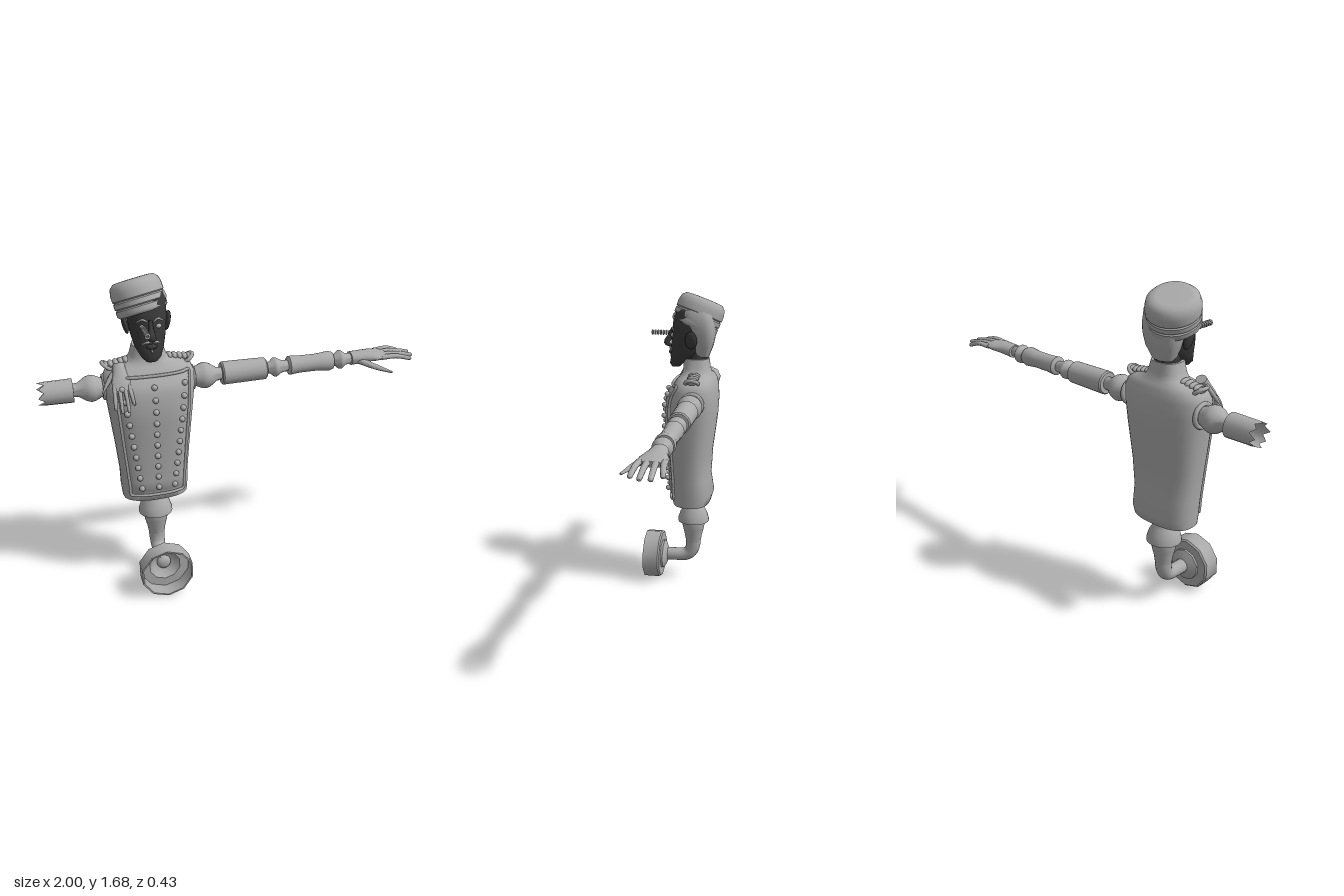
import * as THREE from 'three';
import { toCreasedNormals } from 'three/addons/utils/BufferGeometryUtils.js';

const V = (x, y, z) => new THREE.Vector3(x, y, z);
const CX = -0.452; // the figure's own centre line

export function createModel() {
  const grey = new THREE.MeshStandardMaterial({ color: 0xaaaaaa, side: THREE.DoubleSide });
  grey.name = 'light grey';
  const dark = new THREE.MeshStandardMaterial({ color: 0x3a3a3a });
  dark.name = 'dark grey';
  const model = new THREE.Group();
  model.name = 'jointedFigure';

  const add = (parent, name, geo, mat = grey, x = 0, y = 0, z = 0) => {
    const m = new THREE.Mesh(geo, mat);
    m.name = name;
    m.position.set(x, y, z);
    parent.add(m);
    return m;
  };
  const group = (parent, name, x = 0, y = 0, z = 0) => {
    const g = new THREE.Group();
    g.name = name;
    g.position.set(x, y, z);
    parent.add(g);
    return g;
  };
  const ball = (parent, name, mat, p, s) => {
    const m = add(parent, name, new THREE.SphereGeometry(1, 16, 10), mat, ...p);
    m.scale.set(...s);
    return m;
  };

  // Skin over closed rings of equal size, capped at both ends
  const loft = (rings) => {
    const n = rings[0].length, pos = [], idx = [], last = rings.length - 1;
    rings.forEach((r) => r.forEach((p) => pos.push(p.x, p.y, p.z)));
    const at = (i, j) => i * n + (j % n);
    for (let i = 0; i < last; i++) for (let j = 0; j < n; j++)
      idx.push(at(i, j), at(i + 1, j), at(i, j + 1), at(i, j + 1), at(i + 1, j), at(i + 1, j + 1));
    [0, last].forEach((i, end) => {
      const c = rings[i].reduce((s, p) => s.add(p), V(0, 0, 0)).divideScalar(n);
      const k = pos.length / 3;
      pos.push(c.x, c.y, c.z);
      for (let j = 0; j < n; j++) idx.push(k, end ? at(i, j + 1) : at(i, j), end ? at(i, j) : at(i, j + 1));
    });
    const g = new THREE.BufferGeometry();
    g.setAttribute('position', new THREE.Float32BufferAttribute(pos, 3));
    g.setIndex(idx);
    return toCreasedNormals(g, 0.9);
  };
  // Horizontal rounded section: [height, half width, front z, back z]
  const section = ([y, hw, zf, zb], n, count = 32) => Array.from({ length: count }, (_, i) => {
    const a = (i / count) * Math.PI * 2, c = Math.cos(a), s = Math.sin(a);
    const pow = (v) => Math.sign(v) * Math.abs(v) ** (2 / n);
    return V(hw * pow(c), y, (zf + zb) / 2 + ((zf - zb) / 2) * pow(s));
  });
  // Oval sections [width, height] swept along a path
  const sweep = (pts, sizes, up = V(0, 1, 0), steps = 12, count = 12) => {
    const curve = new THREE.CatmullRomCurve3(pts.map((p) => V(...p)));
    return loft(Array.from({ length: steps + 1 }, (_, i) => {
      const t = i / steps, f = t * (sizes.length - 1), k = Math.min(Math.floor(f), sizes.length - 2);
      const w = THREE.MathUtils.lerp(sizes[k][0], sizes[k + 1][0], f - k);
      const h = THREE.MathUtils.lerp(sizes[k][1], sizes[k + 1][1], f - k);
      const p = curve.getPoint(t), T = curve.getTangent(t);
      const side = T.clone().cross(up).normalize(), u = side.clone().cross(T);
      return Array.from({ length: count }, (_, j) => {
        const a = (j / count) * Math.PI * 2;
        return p.clone().addScaledVector(side, w * Math.cos(a)).addScaledVector(u, h * Math.sin(a));
      });
    }));
  };
  const lathe = (profile, sides = 24, crease = 0.7) =>
    toCreasedNormals(new THREE.LatheGeometry(profile.map((p) => new THREE.Vector2(...p)), sides), crease);

  // Torso
  const rows = [[0.49, 0.145, 0.035, -0.14], [0.5, 0.17, 0.05, -0.16], [0.55, 0.175, 0.057, -0.175],
    [0.65, 0.178, 0.06, -0.158], [0.8, 0.192, 0.07, -0.165], [1, 0.214, 0.085, -0.19], [1.1, 0.226, 0.08, -0.195],
    [1.17, 0.229, 0.06, -0.19], [1.21, 0.212, 0.037, -0.18], [1.235, 0.168, 0.016, -0.167],
    [1.25, 0.105, 0.005, -0.155], [1.28, 0.088, 0, -0.147], [1.33, 0.075, -0.002, -0.14]];
  const torso = group(model, 'torso', CX);
  add(torso, 'jacket', loft(rows.map((r) => section(r, 2.6, 40))));
  const frontZ = (x, y) => {
    let k = 0;
    while (k < rows.length - 2 && rows[k + 1][0] < y) k++;
    const t = (y - rows[k][0]) / (rows[k + 1][0] - rows[k][0]);
    const [hw, zf, zb] = [1, 2, 3].map((i) => THREE.MathUtils.lerp(rows[k][i], rows[k + 1][i], t));
    return (zf + zb) / 2 + ((zf - zb) / 2) * (1 - Math.min(1, Math.abs(x / hw)) ** 2.6) ** (1 / 2.6);
  };

  // Raised chest panel with a piped edge
  const panelPoint = (u, v, lift) => {
    const y = 0.54 + 0.66 * v, x = u * (0.142 + 0.053 * v);
    return V(x, y, frontZ(x, y) + lift);
  };
  const NU = 20, NV = 16, pos = [], idx = [];
  for (let j = 0; j <= NV; j++) for (let i = 0; i <= NU; i++) {
    const edge = i === 0 || j === 0 || i === NU || j === NV;
    const p = panelPoint((i / NU) * 2 - 1, j / NV, edge ? -0.005 : 0.013);
    pos.push(p.x, p.y, p.z);
    const a = j * (NU + 1) + i, b = a + NU + 1;
    if (i < NU && j < NV) idx.push(a, a + 1, b, b, a + 1, b + 1);
  }
  const panel = new THREE.BufferGeometry();
  panel.setAttribute('position', new THREE.Float32BufferAttribute(pos, 3));
  panel.setIndex(idx);
  panel.computeVertexNormals();
  add(torso, 'chestPanel', panel);
  const rim = [];
  for (let i = 0; i < 12; i++) rim.push([-1 + i / 6, 0]);
  for (let i = 0; i < 12; i++) rim.push([1, i / 12]);
  for (let i = 0; i < 12; i++) rim.push([1 - i / 6, 1]);
  for (let i = 0; i < 12; i++) rim.push([-1, 1 - i / 12]);
  const rimCurve = new THREE.CatmullRomCurve3(rim.map(([u, v]) => panelPoint(u * 0.97, v, 0.008)), true);
  add(torso, 'panelPiping', new THREE.TubeGeometry(rimCurve, 120, 0.008, 6, true));

  // Three columns of buttons
  for (let i = 0; i < 10; i++) for (const s of [-1, 0, 1]) {
    const y = 1.153 - i * 0.0625, x = s * (0.155 - i * 0.0077);
    ball(torso, 'button', grey, [x, y, frontZ(x, y) + 0.02], [0.015, 0.015, 0.015]);
  }

  // Shoulder boards: a row of braid and a round end
  for (const s of [-1, 1]) {
    for (let i = 0; i < 5; i++)
      ball(torso, 'shoulderBraid', grey, [s * (0.11 + i * 0.025), 1.25 - i * 0.004, -0.075], [0.015, 0.016, 0.032]);
    const end = add(torso, 'shoulderBoardRim', new THREE.TorusGeometry(0.034, 0.01, 8, 20), grey, s * 0.198, 1.226, -0.075);
    end.rotation.set(Math.PI / 2, s * 0.6, 0);
    const socket = add(torso, 'armSocket', new THREE.TorusGeometry(0.056, 0.012, 8, 24), grey, s * 0.222, 1.115, -0.08);
    socket.rotation.y = Math.PI / 2;
  }

  // Open hand: fingers along +x, thumb towards +z
  const makeHand = (parent, name) => {
    const hand = group(parent, name);
    add(hand, 'palm', sweep([[0, 0, 0], [0.07, 0.004, 0], [0.13, 0.006, 0], [0.2, 0.004, 0]],
      [[0.042, 0.036], [0.05, 0.032], [0.068, 0.024], [0.066, 0.013]], undefined, 12, 20));
    [[-0.053, -0.072, 0.31], [-0.018, -0.03, 0.357], [0.018, 0.017, 0.357], [0.052, 0.062, 0.33]].forEach(([z0, z1, x]) =>
      add(hand, 'finger', sweep([[0.16, 0.006, z0], [0.24, 0.008, (z0 + z1) / 2], [x - 0.01, -0.012, z1], [x, -0.015, z1]],
        [[0.017, 0.013], [0.015, 0.013], [0.013, 0.012], [0.011, 0.01], [0.004, 0.004]])));
    add(hand, 'thumb', sweep([[0.04, -0.005, 0.02], [0.1, -0.025, 0.075], [0.19, -0.05, 0.134]],
      [[0.025, 0.02], [0.02, 0.016], [0.015, 0.013], [0.006, 0.005]]));
    return hand;
  };

  // Arms, turned along x from the centre line outwards
  const turned = (parent, name, profile) => {
    add(parent, name, lathe(profile)).rotation.z = -Math.PI / 2;
  };
  const arms = [1, -1].map((s) => {
    const arm = group(model, s > 0 ? 'leftArm' : 'rightArm', CX, 1.115, -0.08);
    if (s < 0) arm.rotation.y = Math.PI;
    turned(arm, 'shoulderJoint', [[0.04, 0.2], [0.045, 0.23], [0.064, 0.27], [0.068, 0.29], [0.06, 0.315], [0.036, 0.35], [0.032, 0.385]]);
    return arm;
  });
  const left = arms[0];
  turned(left, 'upperArm', [[0, 0.377], [0.054, 0.377], [0.06, 0.384], [0.057, 0.61], [0.05, 0.617], [0, 0.617]]);
  turned(left, 'elbowJoint', [[0.026, 0.61], [0.032, 0.64], [0.05, 0.662], [0.05, 0.674], [0.034, 0.7], [0.026, 0.745]]);
  turned(left, 'forearm', [[0, 0.737], [0.04, 0.737], [0.05, 0.745], [0.045, 0.8], [0.045, 0.9], [0.052, 0.965], [0.046, 0.985], [0, 0.985]]);
  turned(left, 'wristJoint', [[0.025, 0.98], [0.03, 1], [0.05, 1.025], [0.05, 1.035], [0.032, 1.06], [0.026, 1.1]]);
  makeHand(left, 'leftHand').position.x = 1.09;

  // Broken, hollow stump of the right upper arm
  const stump = new THREE.CylinderGeometry(0.058, 0.06, 0.171, 16, 1, true);
  const sp = stump.attributes.position, jag = [0, -0.03, -0.008, -0.035];
  for (let i = 0; i < sp.count; i++) if (sp.getY(i) > 0) sp.setY(i, sp.getY(i) + jag[(i % 17 % 16) % 4]);
  add(arms[1], 'brokenUpperArm', stump, grey, 0.4625).rotation.z = -Math.PI / 2;
  turned(arms[1], 'upperArmEnd', [[0.03, 0.376], [0.06, 0.377]]);

  // Loose hand draped over the right shoulder
  const loose = makeHand(model, 'looseHand');
  loose.quaternion.setFromRotationMatrix(new THREE.Matrix4().makeBasis(V(0, -0.82, 0.572), V(0, 0.572, 0.82), V(-1, 0, 0)));
  loose.position.set(-0.605, 1.255, -0.015);
  loose.scale.setScalar(0.68);

  // Head
  const head = group(model, 'head', CX);
  add(head, 'face', loft([[1.28, 0.028, 0.068, 0.02], [1.3, 0.048, 0.077, 0], [1.34, 0.07, 0.07, -0.08], [1.4, 0.085, 0.07, -0.13],
    [1.48, 0.095, 0.064, -0.15], [1.56, 0.097, 0.055, -0.155], [1.6, 0.085, 0.03, -0.14]].map((r) => section(r, 2.3))), dark);
  add(head, 'hair', loft([[1.34, 0.055, -0.06, -0.14], [1.4, 0.085, -0.055, -0.162], [1.46, 0.1, -0.045, -0.174], [1.51, 0.105, -0.02, -0.176],
    [1.57, 0.105, 0.01, -0.17], [1.6, 0.09, 0, -0.15]].map((r) => section(r, 3))));
  add(head, 'neck', new THREE.CylinderGeometry(0.062, 0.065, 0.13, 20), dark, 0, 1.34, -0.073);
  add(head, 'nose', sweep([[0, 1.49, 0.06], [0, 1.45, 0.075], [0, 1.41, 0.095], [0, 1.392, 0.075]],
    [[0.009, 0.012], [0.012, 0.014], [0.02, 0.018], [0.014, 0.008]], V(0, 0, 1)), dark);
  ball(head, 'lips', dark, [0, 1.36, 0.07], [0.026, 0.013, 0.014]);
  ball(head, 'beardTuft', grey, [0, 1.338, 0.071], [0.005, 0.012, 0.006]);
  for (const s of [-1, 1]) {
    ball(head, 'ear', dark, [s * 0.104, 1.44, -0.055], [0.014, 0.05, 0.033]).rotation.z = -s * 0.2;
    ball(head, 'eye', grey, [s * 0.038, 1.457, 0.055], [0.015, 0.012, 0.014]);
    add(head, 'eyebrow', sweep([[s * 0.016, 1.484, 0.064], [s * 0.038, 1.494, 0.06], [s * 0.062, 1.48, 0.047]],
      [[0.003, 0.004], [0.005, 0.006], [0.002, 0.003]]));
    add(head, 'moustache', sweep([[0, 1.384, 0.074], [s * 0.022, 1.384, 0.073], [s * 0.046, 1.374, 0.062]],
      [[0.005, 0.005], [0.006, 0.007], [0.002, 0.003]]));
  }
  // Sprung eye
  for (let i = 0; i < 8; i++)
    add(head, 'eyeSpring', new THREE.TorusGeometry(0.01, 0.005, 6, 14), grey, -0.038, 1.457, 0.075 + i * 0.0155);

  // Pillbox cap, tilted back and sideways
  const cap = add(model, 'cap', lathe([[0, -0.05], [0.92, -0.06], [1, -0.05], [1, -0.026], [0.95, -0.02], [1.01, -0.014], [1.01, 0.01],
    [0.96, 0.016], [1.02, 0.022], [1.02, 0.055], [0.96, 0.085], [0.8, 0.104], [0.6, 0.106], [0, 0.1]]
    .map(([r, y]) => [r * 0.125, y]), 32, 0.8), grey, -0.477, 1.548, -0.07);
  cap.scale.z = 1.04;
  cap.rotation.set(-0.35, 0, 0.2);

  // Stand: waist joint, bent pipe and open ten-sided foot
  const stand = group(model, 'stand', CX);
  add(stand, 'waistJoint', lathe([[0.04, 0.22], [0.05, 0.28], [0.06, 0.32], [0.066, 0.35], [0.066, 0.37], [0.09, 0.37], [0.089, 0.385],
    [0.078, 0.42], [0.062, 0.45], [0.048, 0.475], [0.046, 0.51]]), grey, 0, 0, -0.062);
  add(stand, 'bentPipe', sweep([[0, 0.27, -0.062], [0, 0.21, -0.06], [0, 0.17, -0.046], [0, 0.149, -0.015], [0, 0.145, 0.03], [0, 0.143, 0.11]],
    [[0.045, 0.045], [0.04, 0.04], [0.037, 0.037], [0.037, 0.037]], V(1, 0, 0), 20, 16));
  add(stand, 'foot', lathe([[0.037, 0.088], [0.055, 0.095], [0.085, 0.11], [0.085, 0.122], [0.132, 0.122], [0.14, 0.13], [0.14, 0.217],
    [0.132, 0.217], [0.132, 0.138], [0.084, 0.138], [0.06, 0.108], [0.035, 0.1]], 10, 0.75), grey, 0, 0.14, 0).rotation.x = Math.PI / 2;
  ball(stand, 'pipeEnd', grey, [0, 0.143, 0.11], [0.037, 0.037, 0.02]);

  return model;
}
